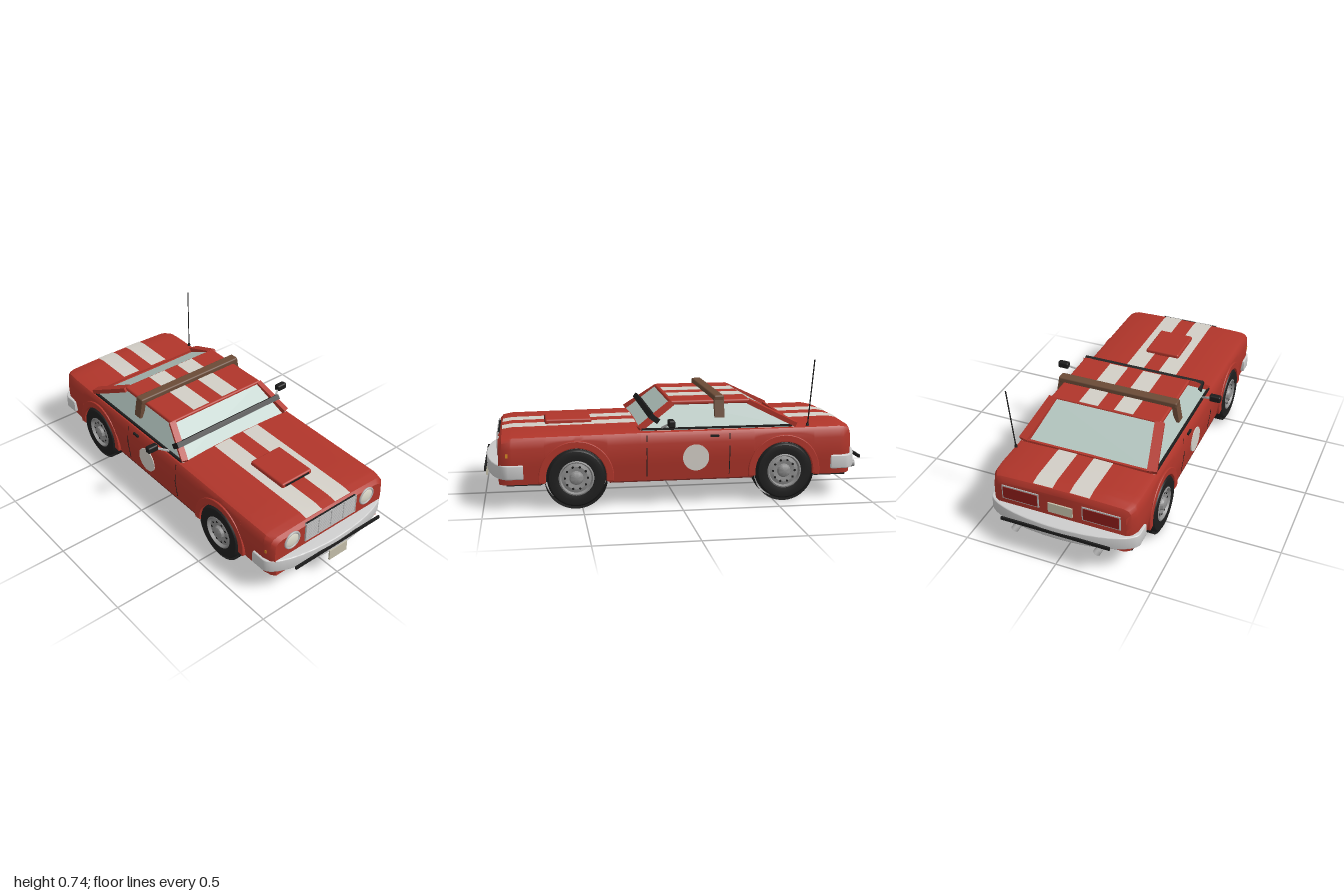
import * as THREE from 'three';
import { toCreasedNormals } from 'three/addons/utils/BufferGeometryUtils.js';
import { RoundedBoxGeometry } from 'three/addons/geometries/RoundedBoxGeometry.js';
import { ConvexGeometry } from 'three/addons/geometries/ConvexGeometry.js';

const mat = (color, side = THREE.FrontSide) => new THREE.MeshStandardMaterial({ color, side });
const red = mat(0xb0352a), redSheet = mat(0xb0352a, THREE.DoubleSide), black = mat(0x1c1c1c);
const blackSheet = mat(0x1c1c1c, THREE.DoubleSide), white = mat(0xd2cec6), whiteSheet = mat(0xd2cec6, THREE.DoubleSide);
const chrome = mat(0xb4b4b4), glass = mat(0xb4c6c0), wood = mat(0x6a4a36), lamp = mat(0xdcdacb);
const plateMat = mat(0xc2bda8), amber = mat(0xd08a20), darkRed = mat(0x8a1c18), floorRed = mat(0x6e231d);

const V = (x, y, z) => new THREE.Vector3(x, y, z);
const WHEELS = [-0.55, 0.53], AXLE = 0.148, ARCH = 0.16;

export function createModel() {
  const car = new THREE.Group();
  car.name = 'car';

  const add = (name, geo, material, x = 0, y = 0, z = 0, parent = car) => {
    const m = new THREE.Mesh(geo, material);
    m.name = name;
    m.position.set(x, y, z);
    parent.add(m);
    return m;
  };
  const box = (name, w, h, d, material, x, y, z) => add(name, new THREE.BoxGeometry(w, h, d), material, x, y, z);
  // Rectangular bar between two points
  const beam = (name, a, b, w, h, material) => {
    const m = add(name, new THREE.BoxGeometry(w, h, a.distanceTo(b)), material);
    m.position.copy(a).lerp(b, 0.5);
    m.lookAt(b);
    return m;
  };
  // Surface through rows of points
  const grid = (rows) => {
    const n = rows[0].length, idx = [];
    for (let i = 0; i < rows.length - 1; i++)
      for (let j = 0; j < n - 1; j++) {
        const a = i * n + j, b = a + n;
        idx.push(a, b, b + 1, a, b + 1, a + 1);
      }
    const g = new THREE.BufferGeometry();
    g.setAttribute('position', new THREE.Float32BufferAttribute(rows.flat(2), 3));
    g.setIndex(idx);
    return toCreasedNormals(g, 0.6);
  };
  const curve = (table) => (v) => {
    if (v <= table[0][0]) return table[0][1];
    for (let i = 1; i < table.length; i++) {
      const [a, p] = table[i - 1], [b, q] = table[i];
      if (v <= b) return p + (q - p) * (v - a) / (b - a);
    }
    return table[table.length - 1][1];
  };

  // Body shell: deck height, plan taper and side bulge
  const deck = curve([[-0.92, 0.355], [-0.905, 0.378], [-0.85, 0.388], [-0.6, 0.385], [0.2, 0.381], [0.85, 0.372], [0.9, 0.364], [0.918, 0.345]]);
  const taper = curve([[-0.92, 0.88], [-0.905, 0.94], [-0.87, 0.985], [-0.8, 1], [0.86, 1], [0.9, 0.975], [0.918, 0.93]]);
  const bulge = curve([[0.12, 0.375], [0.25, 0.392], [0.32, 0.388], [0.36, 0.382]]);
  const topY = (x, z) => deck(x) - 0.006 * (z / 0.345) ** 2;
  const columns = [-0.92, -0.905, -0.87, -0.85, -0.8].map((x) => [x, 0.12]);
  for (const cx of WHEELS) {
    columns.push([cx - ARCH, 0.12]);
    for (let i = 0; i <= 24; i++) {
      const a = Math.PI * (1 - i / 24);
      columns.push([cx + ARCH * Math.cos(a), AXLE + ARCH * Math.sin(a)]);
    }
    columns.push([cx + ARCH, 0.12]);
    if (cx < 0) columns.push([0.2, 0.12]);
  }
  columns.push([0.85, 0.12], [0.86, 0.12], [0.9, 0.12], [0.918, 0.12]);
  const ring = ([x, bottom]) => {
    const w = taper(x), t = deck(x), half = [];
    for (let k = 0; k <= 6; k++) {
      const y = bottom + (t - 0.03 - bottom) * k / 6;
      half.push([x, y, w * bulge(y)]);
    }
    half.push([x, t - 0.014, 0.372 * w], [x, topY(x, 0.345), 0.345 * w], [x, topY(x, 0.2), 0.2 * w]);
    return [...half, [x, t, 0], ...half.slice().reverse().map(([a, b, c]) => [a, b, -c])];
  };
  const rings = columns.sort((a, b) => a[0] - b[0]).map(ring);
  const cap = (r) => r.map(([x, y]) => [x, y, 0]);
  add('body', grid([cap(rings[0]), ...rings, cap(rings[rings.length - 1])]), redSheet);

  // Underside
  box('floorPan', 0.74, 0.02, 0.75, floorRed, -0.01, 0.124, 0);
  for (const cx of WHEELS) box('underTray', 0.36, 0.02, 0.62, black, cx, 0.124, 0);
  box('frontValance', 0.18, 0.024, 0.72, black, 0.79, 0.123, 0);
  box('rearValance', 0.17, 0.024, 0.72, black, -0.805, 0.123, 0);

  // Racing stripes on boot, roof and bonnet
  for (const s of [-1, 1]) {
    for (const xs of [[-0.905, -0.85, -0.625], [0.2, 0.85, 0.9]])
      add('stripe', grid(xs.map((x) => [s * 0.0975 + 0.0525, s * 0.0975, s * 0.0975 - 0.0525]
        .map((z) => [x, topY(x, z) + 0.003, z]))), whiteSheet);
    box('roofStripe', 0.4, 0.004, 0.105, white, -0.175, 0.5185, s * 0.0975);
  }

  // Cabin
  const corners = [];
  for (const s of [-1, 1])
    corners.push(V(-0.615, 0.375, s * 0.362), V(0.2, 0.375, s * 0.362), V(0.035, 0.51, s * 0.298), V(-0.385, 0.51, s * 0.298));
  add('windows', new ConvexGeometry(corners), glass);
  add('roof', new RoundedBoxGeometry(0.425, 0.024, 0.615, 3, 0.01), red, -0.172, 0.507, 0);
  for (const s of [-1, 1]) {
    beam('rearPillar', V(-0.62, 0.387, s * 0.352), V(-0.375, 0.506, s * 0.296), 0.05, 0.024, red);
    beam('frontPillar', V(0.205, 0.384, s * 0.352), V(0.03, 0.506, s * 0.296), 0.034, 0.024, red);
    box('windowTrim', 0.79, 0.01, 0.012, black, -0.2, 0.384, s * 0.365);
  }
  box('rearWindowSeal', 0.014, 0.012, 0.7, red, -0.617, 0.387, 0);
  beam('windscreenBand', V(0.127, 0.435, -0.352), V(0.127, 0.435, 0.352), 0.055, 0.028, black).rotateZ(0.65);

  // Wooden roof rack bar
  add('roofBar', new RoundedBoxGeometry(0.054, 0.032, 0.67, 2, 0.008), wood, -0.213, 0.529, 0);
  for (const s of [-1, 1])
    beam('roofBarLeg', V(-0.213, 0.535, s * 0.319), V(-0.213, 0.43, s * 0.338), 0.05, 0.026, wood);

  // Bonnet scoop
  add('bonnetScoop', new RoundedBoxGeometry(0.245, 0.03, 0.2, 3, 0.01), red, 0.553, 0.385, 0);
  box('scoopMouth', 0.004, 0.012, 0.16, black, 0.675, 0.386, 0);

  // Wheels, arches and liners
  const tyreGeo = new THREE.LatheGeometry([
    [0.085, -0.036], [0.115, -0.041], [0.138, -0.038], [0.147, -0.028], [0.148, -0.016], [0.142, -0.013], [0.148, -0.01],
    [0.148, 0.01], [0.142, 0.013], [0.148, 0.016], [0.147, 0.028], [0.138, 0.038], [0.115, 0.041], [0.085, 0.036],
  ].map(([r, y]) => new THREE.Vector2(r, y)), 48);
  const rimGeo = new THREE.LatheGeometry([
    [0, -0.03], [0.088, -0.034], [0.09, 0.037], [0.083, 0.04], [0.076, 0.024], [0.058, 0.03], [0.036, 0.026], [0.03, 0.04], [0.018, 0.046], [0, 0.047],
  ].map(([r, y]) => new THREE.Vector2(r, y)), 40);
  const arch = new THREE.Shape();
  arch.absarc(0, 0, 0.187, -0.1, Math.PI + 0.1, false);
  arch.absarc(0, 0, ARCH - 0.003, Math.PI + 0.1, -0.1, true);
  const archGeo = new THREE.ExtrudeGeometry(arch, { depth: 0.014, curveSegments: 32, bevelSize: 0.004, bevelThickness: 0.004, bevelSegments: 2 });
  const linerGeo = new THREE.CylinderGeometry(ARCH, ARCH, 0.08, 32, 1, true, 0, Math.PI);
  for (const cx of WHEELS)
    for (const s of [-1, 1]) {
      const wheel = new THREE.Group();
      wheel.name = 'wheel';
      wheel.position.set(cx, AXLE, s * 0.358);
      wheel.rotation.x = s * Math.PI / 2;
      car.add(wheel);
      add('tyre', toCreasedNormals(tyreGeo, 0.7), mat(0x1e1e1e, THREE.DoubleSide), 0, 0, 0, wheel);
      add('rim', toCreasedNormals(rimGeo, 0.5), mat(0x8e8e8e, THREE.DoubleSide), 0, 0, 0, wheel);
      for (let i = 0; i < 10; i++) {
        const a = i * Math.PI / 5;
        add('rimSlot', new THREE.CylinderGeometry(0.006, 0.006, 0.004, 10), black, 0.058 * Math.cos(a), 0.0295, 0.058 * Math.sin(a), wheel);
      }
      add('archFlare', archGeo, red, cx, AXLE, s > 0 ? 0.377 : -0.391);
      const liner = add('archLiner', linerGeo, blackSheet, cx, AXLE, s * 0.345);
      liner.rotation.set(Math.PI / 2, Math.PI / 2, 0, 'XYZ');
      liner.rotation.set(-Math.PI / 2, 0, 0);
      liner.rotateY(Math.PI / 2);
      add('archWall', new THREE.CircleGeometry(ARCH, 32, 0, Math.PI), blackSheet, cx, AXLE, s * 0.308);
    }

  // Bumpers: bowed plan, mirrored front to rear
  const plan = new THREE.Shape();
  plan.moveTo(0.8, -0.394);
  plan.lineTo(0.87, -0.394);
  plan.bezierCurveTo(0.935, -0.385, 0.982, -0.2, 0.982, 0);
  plan.bezierCurveTo(0.982, 0.2, 0.935, 0.385, 0.87, 0.394);
  plan.lineTo(0.8, 0.394);
  const bumperGeo = new THREE.ExtrudeGeometry(plan, { depth: 0.06, curveSegments: 20, bevelSize: 0.005, bevelThickness: 0.006, bevelSegments: 3 });
  bumperGeo.rotateX(-Math.PI / 2);
  const bumperSmooth = toCreasedNormals(bumperGeo, 0.6);
  for (const e of [-1, 1]) {
    const b = add('bumper', bumperSmooth, mat(0xbcbcbe), e < 0 ? -0.008 : 0, 0.157, 0);
    if (e < 0) b.rotation.y = Math.PI;
    box('bumperStrip', 0.01, 0.016, 0.58, black, e > 0 ? 0.987 : -0.995, 0.187, 0);
  }
  box('frontPlate', 0.008, 0.06, 0.12, plateMat, 0.988, 0.131, 0);

  // Nose: grille and headlamps
  box('grilleBack', 0.01, 0.11, 0.34, black, 0.916, 0.3, 0);
  for (let i = 0; i <= 10; i++) box('grilleBar', 0.012, 0.0045, 0.34, chrome, 0.92, 0.248 + i * 0.0104, 0);
  for (const z of [-0.17, -0.085, 0, 0.085, 0.17]) box('grillePost', 0.014, 0.11, 0.005, chrome, 0.92, 0.3, z);
  for (const s of [-1, 1]) {
    const ringMesh = add('headlampRing', new THREE.TorusGeometry(0.045, 0.006, 10, 40), chrome, 0.918, 0.3, s * 0.255);
    ringMesh.rotation.y = Math.PI / 2;
    add('headlamp', new THREE.SphereGeometry(0.044, 28, 14), lamp, 0.915, 0.3, s * 0.255).scale.x = 0.25;
    box('sideMarker', 0.012, 0.018, 0.008, amber, 0.875, 0.272, s * 0.385);

    // Tail lamps and exhausts
    box('tailLampFrame', 0.01, 0.08, 0.2, chrome, -0.92, 0.292, s * 0.215);
    box('tailLamp', 0.012, 0.066, 0.186, darkRed, -0.922, 0.292, s * 0.215);
    const pipe = add('exhaust', new THREE.CylinderGeometry(0.019, 0.019, 0.14, 20, 1, true), mat(0x9a9a9a, THREE.DoubleSide), -0.92, 0.135, s * 0.22);
    pipe.rotation.z = Math.PI / 2;

    // Door details
    const disc = add('doorRoundel', new THREE.CylinderGeometry(0.068, 0.068, 0.008, 48), white, -0.083, 0.235, s * 0.39);
    disc.rotation.x = Math.PI / 2;
    for (const x of [-0.26, 0.17]) {
      beam('doorGap', V(x, 0.14, s * 0.378), V(x, 0.25, s * 0.3915), 0.004, 0.003, black);
      beam('doorGap', V(x, 0.25, s * 0.3915), V(x, 0.355, s * 0.383), 0.004, 0.003, black);
    }
    box('doorHandle', 0.045, 0.01, 0.012, black, -0.18, 0.345, s * 0.388);

    // Wing mirrors
    beam('mirrorArm', V(0.09, 0.39, s * 0.365), V(0.058, 0.422, s * 0.43), 0.009, 0.009, chrome);
    add('mirror', new RoundedBoxGeometry(0.034, 0.036, 0.062, 2, 0.008), black, 0.055, 0.427, s * 0.45);
  }
  box('rearPlate', 0.012, 0.055, 0.13, plateMat, -0.922, 0.275, 0);

  // Aerial
  beam('aerial', V(-0.678, 0.38, -0.364), V(-0.703, 0.727, -0.381), 0.005, 0.005, black);
  add('aerialBase', new THREE.CylinderGeometry(0.006, 0.009, 0.014, 12), black, -0.678, 0.386, -0.364);
  return car;
}
